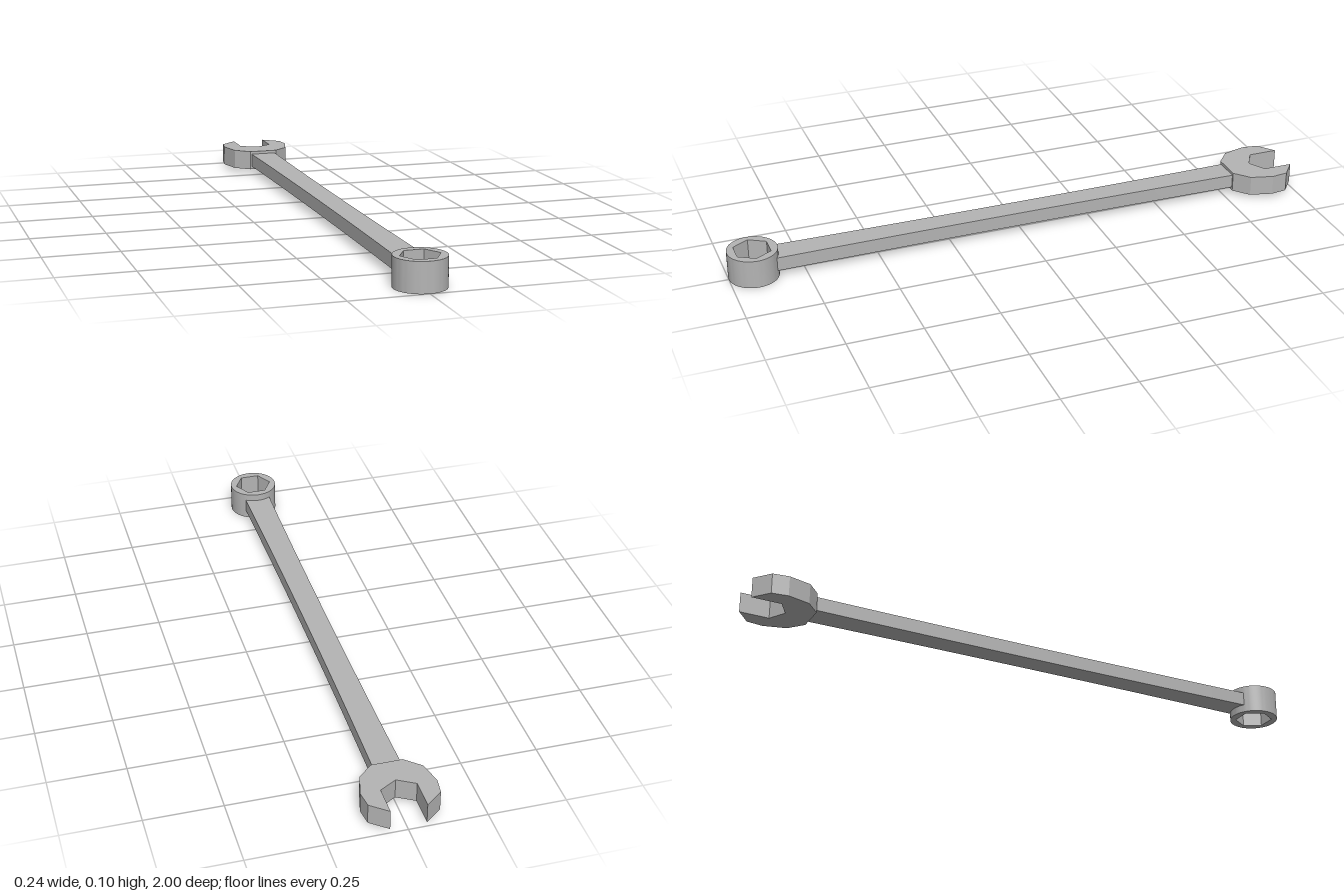
import * as THREE from 'three';
import { toCreasedNormals } from 'three/addons/utils/BufferGeometryUtils.js';

const steel = new THREE.MeshStandardMaterial({ color: 0xb4b4b4 });
steel.name = 'steel';

// Plan outlines are drawn in (x, -z) and raised from y0 to y1
function plate(name, shape, y0, y1) {
  const extruded = new THREE.ExtrudeGeometry(shape, { depth: y1 - y0, bevelEnabled: false, curveSegments: 32 });
  extruded.rotateX(-Math.PI / 2);
  extruded.translate(0, y0, 0);
  const mesh = new THREE.Mesh(toCreasedNormals(extruded, 0.3), steel);
  mesh.name = name;
  return mesh;
}

// Mirrors a right-hand half outline of [x, z] points across x = 0
function mirrored(half) {
  const right = half.map(([x, z]) => new THREE.Vector2(x, -z));
  const left = right.filter((p) => p.x > 0).reverse().map((p) => new THREE.Vector2(-p.x, p.y));
  return new THREE.Shape([...right, ...left]);
}

export function createModel() {
  const wrench = new THREE.Group();
  wrench.name = 'wrench';

  // Shank, slightly waisted towards the middle
  const side = [];
  for (let i = 0; i <= 12; i++) {
    const t = i / 12;
    side.push([0.039 + 0.006 * (2 * t - 1) ** 2, 0.852 - 1.652 * t]);
  }
  wrench.add(plate('shank', mirrored(side), 0.026, 0.073));

  // Open jaw with a V-bottomed slot
  const jaw = mirrored([
    [0.05, -0.78], [0.1, -0.824], [0.12, -0.9], [0.113, -0.955],
    [0.057, -1], [0.057, -0.9], [0, -0.867],
  ]);
  wrench.add(plate('openJaw', jaw, 0.015, 0.083));

  // Closed ring with a hexagonal hole
  const centre = 0.917;
  const ring = new THREE.Shape().absarc(0, -centre, 0.083, 0, Math.PI * 2, false);
  const hexagon = [];
  for (let i = 0; i < 6; i++) {
    const a = -i * Math.PI / 3;
    hexagon.push(new THREE.Vector2(0.064 * Math.cos(a), -centre + 0.064 * Math.sin(a)));
  }
  ring.holes.push(new THREE.Path(hexagon));
  wrench.add(plate('ringEnd', ring, 0, 0.097));

  return wrench;
}
